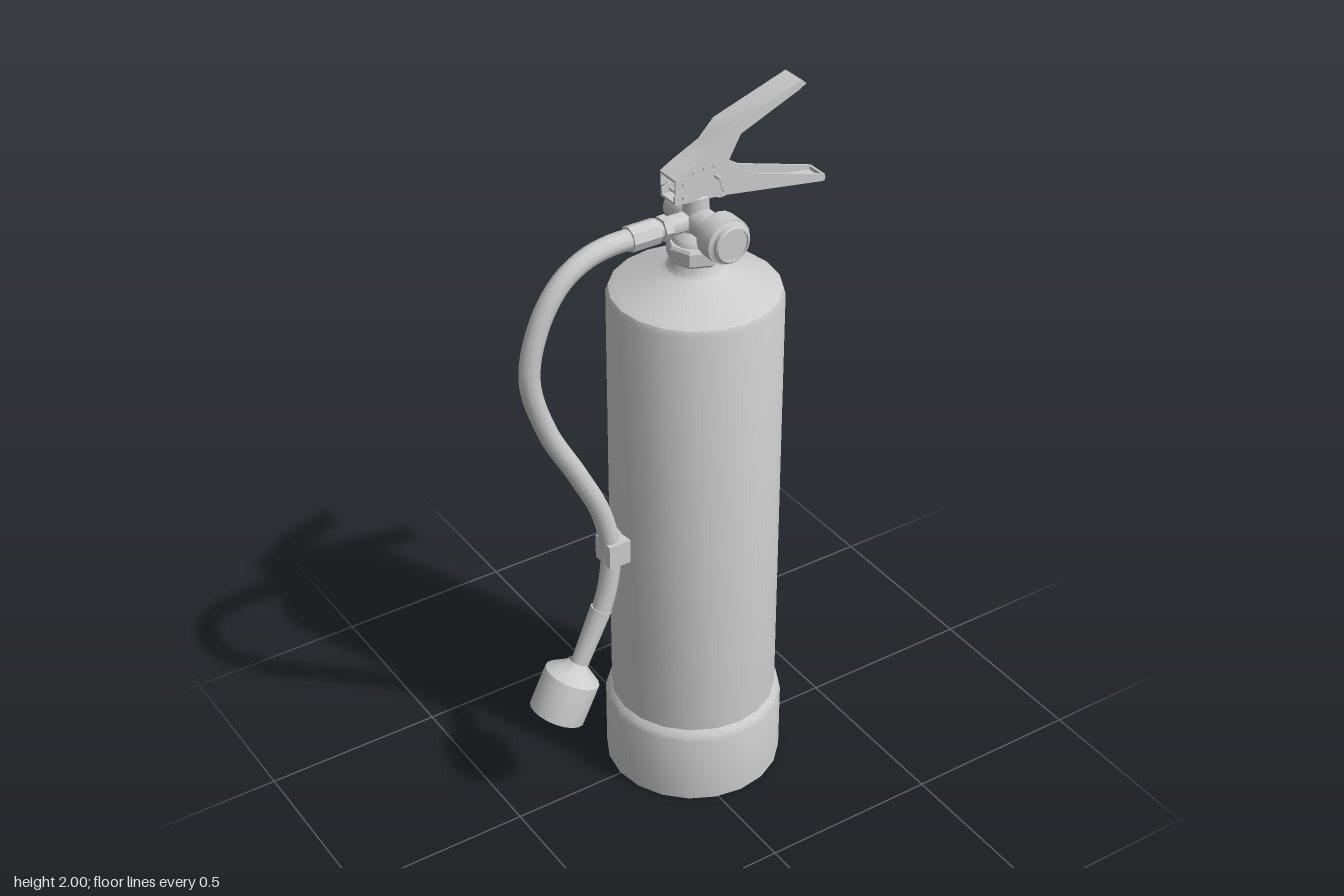
import * as THREE from 'three';
import { toCreasedNormals } from 'three/addons/utils/BufferGeometryUtils.js';

const grey = new THREE.MeshStandardMaterial({ color: 0xcccccc, side: THREE.DoubleSide });
grey.name = 'light grey';

const AX = 0.067; // vertical axis of the bottle
const V = (x, y, z = 0) => new THREE.Vector3(x, y, z);
const UP = V(0, 1, 0);

export function createModel() {
  const root = new THREE.Group();
  root.name = 'fireExtinguisher';

  const add = (name, geo, x = 0, y = 0, z = 0, crease = 0.6) => {
    const mesh = new THREE.Mesh(crease ? toCreasedNormals(geo, crease) : geo, grey);
    mesh.name = name;
    mesh.position.set(x, y, z);
    root.add(mesh);
    return mesh;
  };
  const lathe = (pts, sides) => new THREE.LatheGeometry(pts.map(p => new THREE.Vector2(...p)), sides);
  // cylinder running from a to b
  const rod = (name, a, b, r0, r1 = r0, sides = 16) => {
    const d = b.clone().sub(a);
    const mesh = add(name, new THREE.CylinderGeometry(r1, r0, d.length(), sides));
    mesh.position.copy(a).addScaledVector(d, 0.5);
    mesh.quaternion.setFromUnitVectors(UP, d.normalize());
    return mesh;
  };
  const tube = (name, pts, r, steps, sides) =>
    add(name, new THREE.TubeGeometry(new THREE.CatmullRomCurve3(pts), steps, r, sides), 0, 0, 0, 0);

  // bottle with its shoulder and neck, and the base skirt
  add('bottle', lathe([[0.226, 0.2], [0.226, 1.482], [0.22, 1.498], [0.2, 1.509],
    [0.092, 1.55], [0.074, 1.56], [0.066, 1.575], [0.062, 1.6]], 20), AX);
  add('baseSkirt', lathe([[0, 0], [0.239, 0], [0.243, 0.004], [0.243, 0.208],
    [0.238, 0.222], [0.226, 0.236]], 20), AX);

  // collar nut and valve stem
  add('collarNut', lathe([[0.06, 1.583], [0.071, 1.587], [0.075, 1.593], [0.075, 1.627],
    [0.07, 1.635], [0.045, 1.637]], 8), AX, 0, 0, 0.3);
  add('valveStem', lathe([[0.06, 1.635], [0.056, 1.648], [0.036, 1.665], [0.034, 1.76],
    [0.02, 1.77], [0.02, 1.8], [0, 1.8]], 16), AX);

  // cross tube of the valve with the pressure gauge at the front
  rod('valveCrossTube', V(AX, 1.692, -0.09), V(AX, 1.692, 0.1), 0.038);
  rod('gaugeCase', V(AX, 1.692, 0.094), V(AX, 1.692, 0.146), 0.061);
  const bezel = add('gaugeBezel', lathe([[0.058, 0], [0.05, 0.004], [0.05, 0.016],
    [0.046, 0.02], [0.042, 0.02], [0.042, 0.014], [0, 0.014]], 16), AX, 1.692, 0.146);
  bezel.rotation.x = Math.PI / 2;

  // outlet and hose couplings
  rod('outlet', V(AX, 1.692), V(-0.018, 1.692), 0.026);
  rod('outletNut', V(-0.016, 1.692), V(-0.037, 1.692), 0.033, 0.033, 6);
  rod('outletNeck', V(-0.037, 1.692), V(-0.052, 1.692), 0.022);
  rod('hoseCoupling', V(-0.05, 1.692), V(-0.13, 1.692), 0.034, 0.034, 8);

  // hose and clip
  tube('hose', [V(-0.11, 1.692), V(-0.19, 1.69), V(-0.26, 1.672), V(-0.325, 1.628), V(-0.385, 1.535),
    V(-0.418, 1.39), V(-0.373, 1.22), V(-0.29, 1.06), V(-0.222, 0.915), V(-0.195, 0.78),
    V(-0.206, 0.67), V(-0.23, 0.59)], 0.027, 60, 12);
  add('hoseClip', new THREE.BoxGeometry(0.064, 0.07, 0.07), -0.187, 0.786);

  // nozzle: ferrule and hollow horn
  rod('ferrule', V(-0.227, 0.605), V(-0.298, 0.45), 0.03, 0.025, 12);
  const horn = add('horn', lathe([[0.026, -0.01], [0.032, 0], [0.05, 0.014], [0.077, 0.034],
    [0.078, 0.04], [0.078, 0.152], [0.07, 0.152], [0.07, 0.05], [0, 0.03]], 20), -0.306, 0.45);
  horn.quaternion.setFromUnitVectors(UP, V(-0.44, -0.9).normalize());

  // folded sheet lever: two side plates joined by a web along one edge
  const plate = (pts, depth) => {
    const shape = new THREE.Shape(pts.map(p => new THREE.Vector2(...p)));
    return new THREE.ExtrudeGeometry(shape, { depth, bevelEnabled: false });
  };
  const lever = (name, outline, webEdge, half, thick) => {
    for (const z of [half - 0.006, -half])
      add(name + 'Side', plate(outline, 0.006), 0, 0, z - 0.003);
    const web = [...webEdge, ...webEdge.map(([x, y]) => [x, y + thick]).reverse()];
    add(name + 'Web', plate(web, half * 2 - 0.002), 0, 0, -half - 0.002);
  };
  const topEdge = [[-0.013, 1.83], [0.02, 1.848], [0.098, 1.885], [0.142, 1.93], [0.355, 2.0]];
  lever('upperLever', [[-0.013, 1.79], ...topEdge, [0.368, 1.988], [0.345, 1.975],
    [0.176, 1.905], [0.137, 1.835], [0.12, 1.82]], topEdge, 0.035, -0.007);
  const bottomEdge = [[-0.013, 1.762], [0.125, 1.75], [0.432, 1.7]];
  lever('lowerLever', [...bottomEdge, [0.44, 1.71], [0.435, 1.718], [0.215, 1.785],
    [0.137, 1.835], [-0.013, 1.785]], bottomEdge, 0.032, 0.007);
  add('lowerLeverTip', new THREE.BoxGeometry(0.007, 0.017, 0.062), 0.435, 1.709, -0.003);

  // rivets through the levers
  for (const [x, y] of [[0.012, 1.777], [0.01, 1.815], [0.04, 1.838], [0.07, 1.84], [0.1, 1.84]])
    rod('rivet', V(x, y, -0.042), V(x, y, 0.036), 0.005, 0.005, 8);

  // safety pin with pull ring and seal wire
  rod('safetyPin', V(0.105, 1.81, -0.068), V(0.105, 1.81, 0.05), 0.005, 0.005, 8);
  const ring = add('pullRing', new THREE.TorusGeometry(0.021, 0.003, 6, 20), 0.105, 1.81, -0.087, 0);
  ring.rotation.set(Math.PI / 2 - 0.6, 0, 0);
  tube('sealWire', [V(0.105, 1.8, -0.07), V(0.13, 1.75, -0.062), V(0.155, 1.708, -0.035),
    V(0.178, 1.72, -0.02), V(0.17, 1.75, -0.012), V(0.12, 1.77, 0.04), V(0.105, 1.81, 0.045)], 0.002, 36, 5);

  return root;
}
